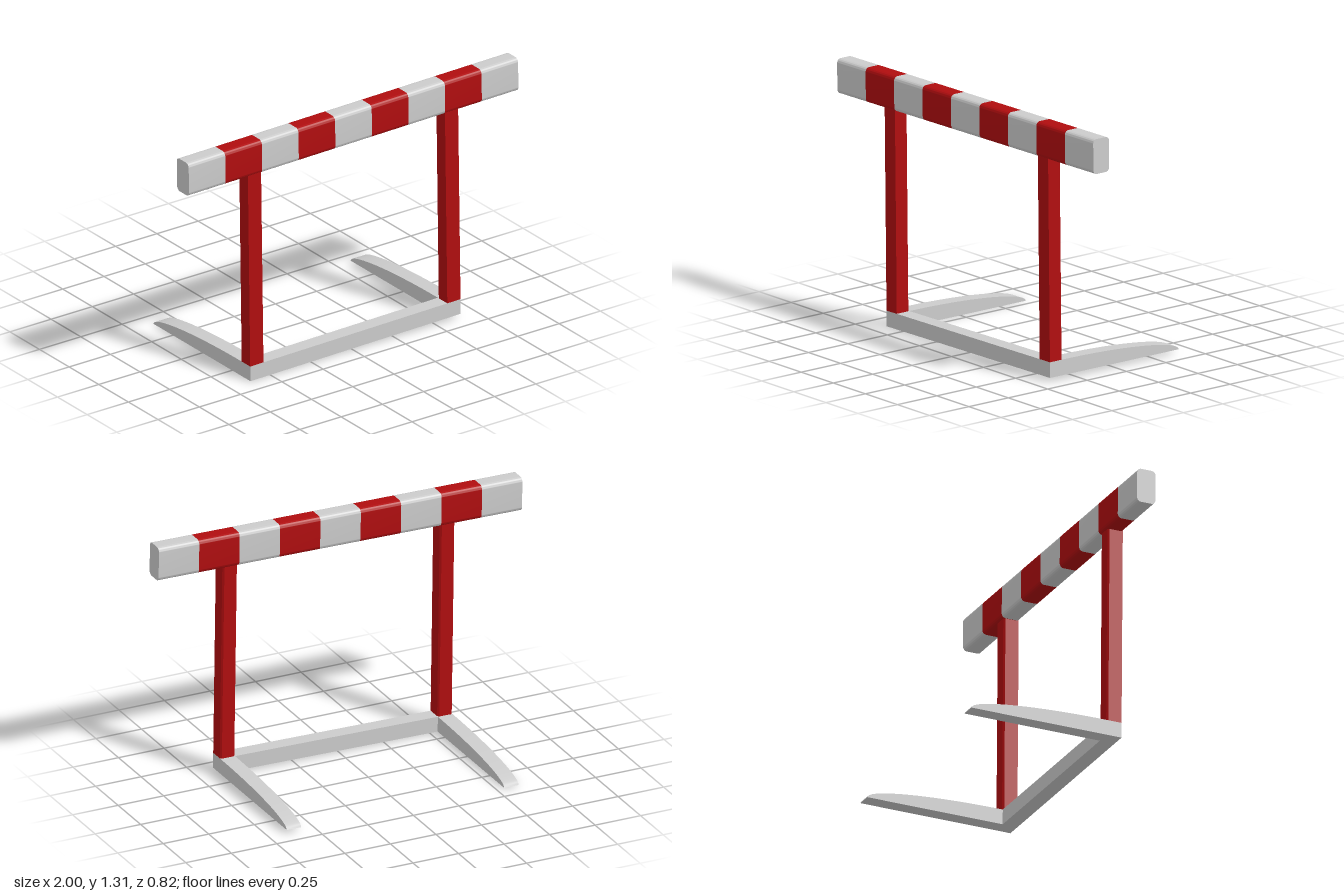
import * as THREE from 'three';
import { toCreasedNormals } from 'three/addons/utils/BufferGeometryUtils.js';

const grey = new THREE.MeshStandardMaterial({ color: 0xcccccc });
const red = new THREE.MeshStandardMaterial({ color: 0xb00d0f });

const HALF = 0.637;   // half width of the base
const TUBE = 0.08;    // thickness of the base and posts
const BACK = 0.325;   // back and front planes of the posts
const FRONT = 0.405;

function extrude(shape, depth) {
  const geo = new THREE.ExtrudeGeometry(shape, { depth, bevelEnabled: false, curveSegments: 8 });
  return toCreasedNormals(geo, 0.6);
}

function addMesh(parent, name, geo, material) {
  const mesh = new THREE.Mesh(geo, material);
  mesh.name = name;
  parent.add(mesh);
  return mesh;
}

// Rounded rectangle centred on the origin
function roundedRect(w, h, r) {
  const s = new THREE.Shape();
  const x = w / 2, y = h / 2;
  s.absarc(x - r, y - r, r, 0, Math.PI / 2);
  s.absarc(-x + r, y - r, r, Math.PI / 2, Math.PI);
  s.absarc(-x + r, -y + r, r, Math.PI, Math.PI * 1.5);
  s.absarc(x - r, -y + r, r, Math.PI * 1.5, Math.PI * 2);
  s.closePath();
  return s;
}

export function createModel() {
  const model = new THREE.Group();
  model.name = 'hurdle';

  // The whole frame leans very slightly to one side
  const frame = new THREE.Group();
  frame.name = 'frame';
  frame.position.set(0.015, 0.009, 0);
  frame.rotation.z = 0.0138;
  model.add(frame);

  // Striped top board: nine equal blocks, alternating grey and red
  const board = new THREE.Group();
  board.name = 'topBoard';
  board.position.set(0, 1.202, 0.361);
  frame.add(board);
  const stripes = 9, stripeWidth = 1.996 / stripes;
  const stripeGeo = extrude(roundedRect(0.1, 0.178, 0.022), stripeWidth);
  stripeGeo.rotateY(Math.PI / 2);
  for (let i = 0; i < stripes; i++) {
    const stripe = addMesh(board, 'boardStripe', stripeGeo, i % 2 ? red : grey);
    stripe.position.x = (i - stripes / 2) * stripeWidth;
  }

  // Base rail across the front
  const rail = addMesh(frame, 'baseRail', new THREE.BoxGeometry(HALF * 2, TUBE, TUBE), grey);
  rail.position.set(0, TUBE / 2, (FRONT + BACK) / 2);

  // Post section with small bevels on the back corners
  const h = TUBE / 2, b = 0.008;
  const postShape = new THREE.Shape([
    [-h, -h], [h, -h], [h, h - b], [h - b, h], [-h + b, h], [-h, h - b],
  ].map(([x, y]) => new THREE.Vector2(x, y)));
  const postGeo = extrude(postShape, 1.04);
  postGeo.rotateX(-Math.PI / 2);

  // Foot side profile: flat sole under a quarter ellipse
  const footShape = new THREE.Shape();
  const footLength = BACK + 0.412;
  footShape.moveTo(0, 0);
  for (let i = 0; i <= 20; i++) {
    const a = (i / 20) * Math.PI / 2;
    footShape.lineTo(footLength * Math.cos(a), TUBE * Math.sin(a));
  }
  footShape.closePath();
  const footGeo = extrude(footShape, TUBE);
  footGeo.rotateY(Math.PI / 2);
  footGeo.translate(-TUBE / 2, 0, BACK);

  for (const side of [-1, 1]) {
    const x = side * (HALF - TUBE / 2);
    const label = side > 0 ? 'left' : 'right';
    addMesh(frame, label + 'Post', postGeo, red).position.set(x, TUBE, (FRONT + BACK) / 2);
    addMesh(frame, label + 'Foot', footGeo, grey).position.x = x;
  }
  return model;
}
